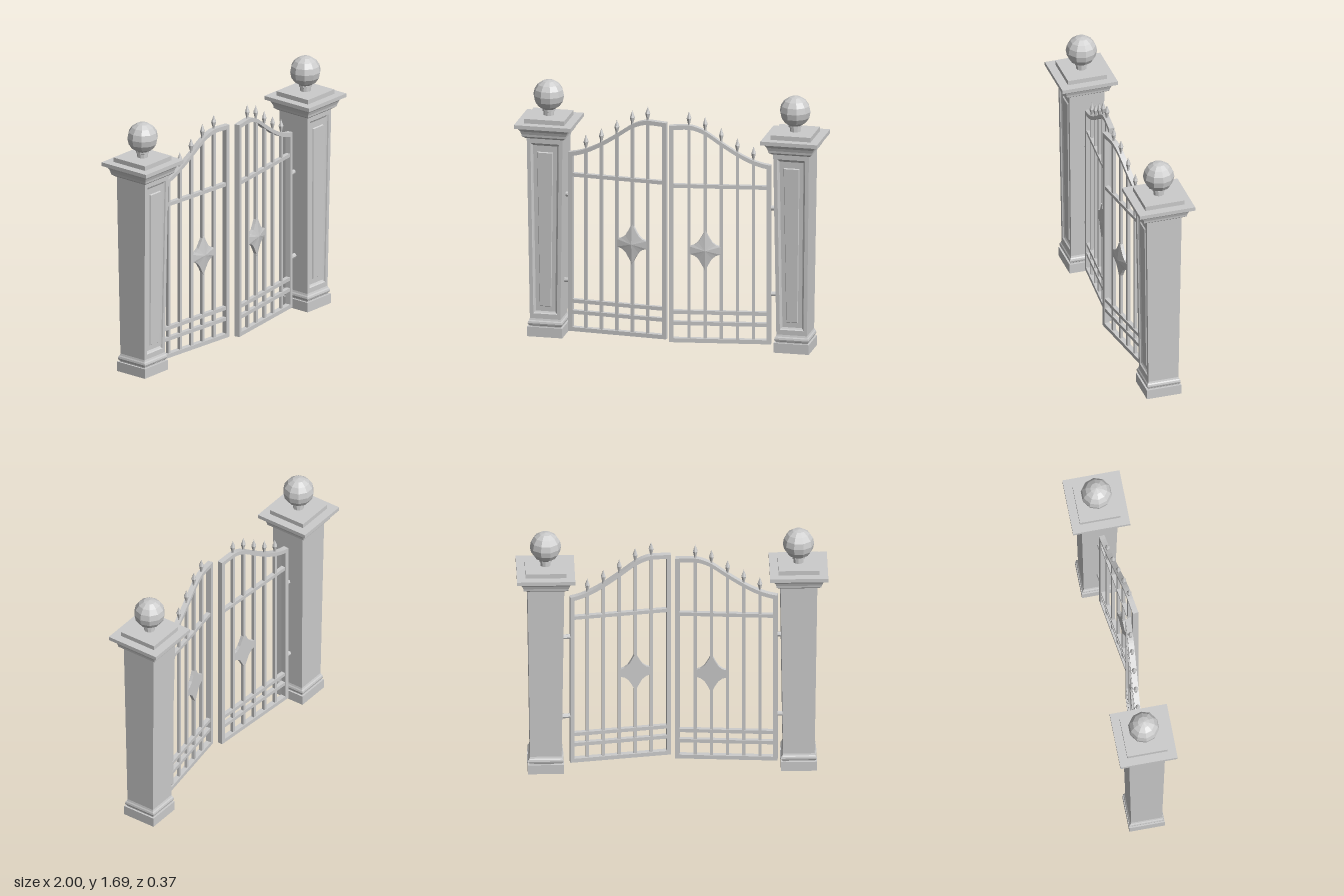
import * as THREE from 'three';

const mat = new THREE.MeshStandardMaterial({ color: 0xcccccc, flatShading: true, side: THREE.DoubleSide });
const LEAF = 0.658;      // leaf width
const POST = 0.028;      // frame bar width
const DEPTH = 0.036;     // frame bar depth

function add(parent, name, geometry, x = 0, y = 0, z = 0) {
  const mesh = new THREE.Mesh(geometry, mat);
  mesh.name = name;
  mesh.position.set(x, y, z);
  parent.add(mesh);
  return mesh;
}

// Square moulding from a [halfWidth, y] profile, closed at both ends
function squareLathe(profile) {
  const last = profile[profile.length - 1];
  const pts = [[0, profile[0][1]], ...profile, [0, last[1]]]
    .map(([r, y]) => new THREE.Vector2(r * Math.SQRT2, y));
  return new THREE.LatheGeometry(pts, 4, Math.PI / 4);
}

// Tapered shaft lofted from back to front, with a sunk panel in the front face
function shaftGeometry() {
  const y0 = 0.105, y1 = 1.335;
  const half = y => THREE.MathUtils.lerp(0.101, 0.118, (y - y0) / (y1 - y0));
  // [side inset, bottom y, top y, depth below the face]
  const steps = [
    [0, y0, y1, 0], [0.024, 0.152, 1.297, 0], [0.028, 0.157, 1.292, 0.008],
    [0.038, 0.168, 1.28, 0.014], [0.064, 0.2, 1.238, 0.014], [0.068, 0.205, 1.233, 0.006],
  ];
  const ring = ([inset, a, b, d], side) =>
    [[-1, a], [1, a], [1, b], [-1, b]].map(([s, y]) => [s * (half(y) - inset), y, side * (half(y) - d)]);
  const rings = [ring(steps[0], -1), ...steps.map(s => ring(s, 1))];
  const index = [0, 2, 1, 0, 3, 2];
  for (let r = 0; r < rings.length - 1; r++) {
    for (let i = 0; i < 4; i++) {
      const a = r * 4 + i, b = r * 4 + (i + 1) % 4;
      index.push(a, b, b + 4, a, b + 4, a + 4);
    }
  }
  const e = (rings.length - 1) * 4;
  index.push(e, e + 1, e + 2, e, e + 2, e + 3);
  const geo = new THREE.BufferGeometry();
  geo.setAttribute('position', new THREE.Float32BufferAttribute(rings.flat(2), 3));
  geo.setIndex(index);
  geo.computeVertexNormals();
  return geo;
}

function makePillar(name, x) {
  const pillar = new THREE.Group();
  pillar.name = name;
  pillar.position.x = x;
  add(pillar, 'plinth', squareLathe([[0.116, 0], [0.116, 0.065]]));
  add(pillar, 'baseMoulding', squareLathe([
    [0.104, 0.065], [0.104, 0.072], [0.11, 0.077], [0.113, 0.088], [0.11, 0.1], [0.105, 0.107], [0.101, 0.12]]));
  add(pillar, 'shaft', shaftGeometry());
  add(pillar, 'capMoulding', squareLathe([
    [0.123, 1.33], [0.144, 1.345], [0.146, 1.36], [0.153, 1.38], [0.168, 1.405]]));
  add(pillar, 'capSlab', squareLathe([[0.187, 1.405], [0.187, 1.43]]));
  add(pillar, 'capStep', squareLathe([[0.132, 1.43], [0.132, 1.46]]));
  const neck = [[0.035, 1.46], [0.035, 1.485], [0.042, 1.488], [0.042, 1.502], [0.03, 1.51]];
  add(pillar, 'ballNeck', new THREE.LatheGeometry(neck.map(p => new THREE.Vector2(...p)), 10));
  add(pillar, 'ball', new THREE.SphereGeometry(0.101, 10, 8), 0, 1.593, 0);
  return pillar;
}

// Upper edge of the swept top rail, measured from the hinge
const topCurve = new THREE.SplineCurve([
  [0, 1.223], [0.05, 1.232], [0.12, 1.255], [0.21, 1.3], [0.32, 1.37], [0.42, 1.44], [0.49, 1.471],
  [0.54, 1.479], [0.6, 1.477], [LEAF, 1.474]].map(p => new THREE.Vector2(...p)));
const topPoints = topCurve.getPoints(27);
function topAt(u) {
  const i = Math.max(1, topPoints.findIndex(p => p.x >= u));
  const a = topPoints[i - 1], b = topPoints[i];
  return a.y + (b.y - a.y) * (u - a.x) / (b.x - a.x);
}

// Star plate: straight rim, raised centre on the front, flat back
function starGeometry() {
  const quarter = [[0.1, 0.025], [0.07, 0.035], [0.045, 0.055], [0.024, 0.09], [0, 0.137]];
  const upper = [...quarter, ...quarter.slice(0, -1).reverse().map(([x, y]) => [-x, y])];
  const rim = [...upper, ...upper.map(([x, y]) => [-x, -y])];
  const n = rim.length;
  const pos = [...rim.map(p => [...p, 0.011]), ...rim.map(p => [...p, -0.011]), [0, 0, 0.026], [0, 0, -0.011]];
  const index = [];
  for (let i = 0; i < n; i++) {
    const j = (i + 1) % n;
    index.push(i, j, 2 * n, j + n, i + n, 2 * n + 1, i, i + n, j + n, i, j + n, j);
  }
  const geo = new THREE.BufferGeometry();
  geo.setAttribute('position', new THREE.Float32BufferAttribute(pos.flat(), 3));
  geo.setIndex(index);
  geo.computeVertexNormals();
  return geo;
}

// s is the direction from the hinge to the free edge
function makeLeaf(name, s, x, z, angle) {
  const leaf = new THREE.Group();
  leaf.name = name;
  leaf.position.set(x, 0, z);
  leaf.rotation.y = angle;
  const box = (part, u0, u1, y0, y1, d) =>
    add(leaf, part, new THREE.BoxGeometry(u1 - u0, y1 - y0, d), s * (u0 + u1) / 2, (y0 + y1) / 2, 0);

  // Frame
  box('hingeStile', 0, POST, 0.025, 1.223, DEPTH);
  box('meetingStile', LEAF - POST, LEAF, 0.025, 1.473, DEPTH);
  box('bottomRail', POST, LEAF - POST, 0.025, 0.052, DEPTH);
  for (const y of [0.152, 0.226, 1.071]) box('crossRail', POST, LEAF - POST, y - 0.012, y + 0.012, 0.028);
  const outline = [...topPoints.map(p => new THREE.Vector2(s * p.x, p.y)),
    ...topPoints.slice().reverse().map(p => new THREE.Vector2(s * p.x, p.y - 0.028))];
  add(leaf, 'topRail', new THREE.ExtrudeGeometry(new THREE.Shape(outline),
    { depth: DEPTH, bevelEnabled: false }), 0, 0, -DEPTH / 2);

  // Upright bars with spear tips
  const spear = [[0.008, -0.012], [0.008, 0.01], [0.017, 0.045], [0.008, 0.07], [0, 0.093]]
    .map(p => new THREE.Vector2(...p));
  for (let i = 0; i < 5; i++) {
    const u = 0.114 + i * 0.104, top = topAt(u);
    box('bar', u - 0.01, u + 0.01, 0.05, top - 0.015, 0.02);
    add(leaf, 'spearTip', new THREE.LatheGeometry(spear, 6), s * u, top, 0);
  }
  add(leaf, 'starPlate', starGeometry(), s * 0.426, 0.642, 0);

  // Hinge pins reaching into the pillar
  for (const y of [0.36, 0.935]) {
    add(leaf, 'hingePin', new THREE.CylinderGeometry(0.016, 0.016, 0.07, 8), -s * 0.03, y, 0).rotation.z = Math.PI / 2;
  }
  return leaf;
}

export function createModel() {
  const gate = new THREE.Group();
  gate.name = 'gate';
  gate.add(
    makePillar('rightPillar', -0.813),
    makePillar('leftPillar', 0.813),
    makeLeaf('rightLeaf', 1, -0.679, 0, -0.075),
    makeLeaf('leftLeaf', -1, 0.656, 0.005, 0.15),
  );
  return gate;
}
